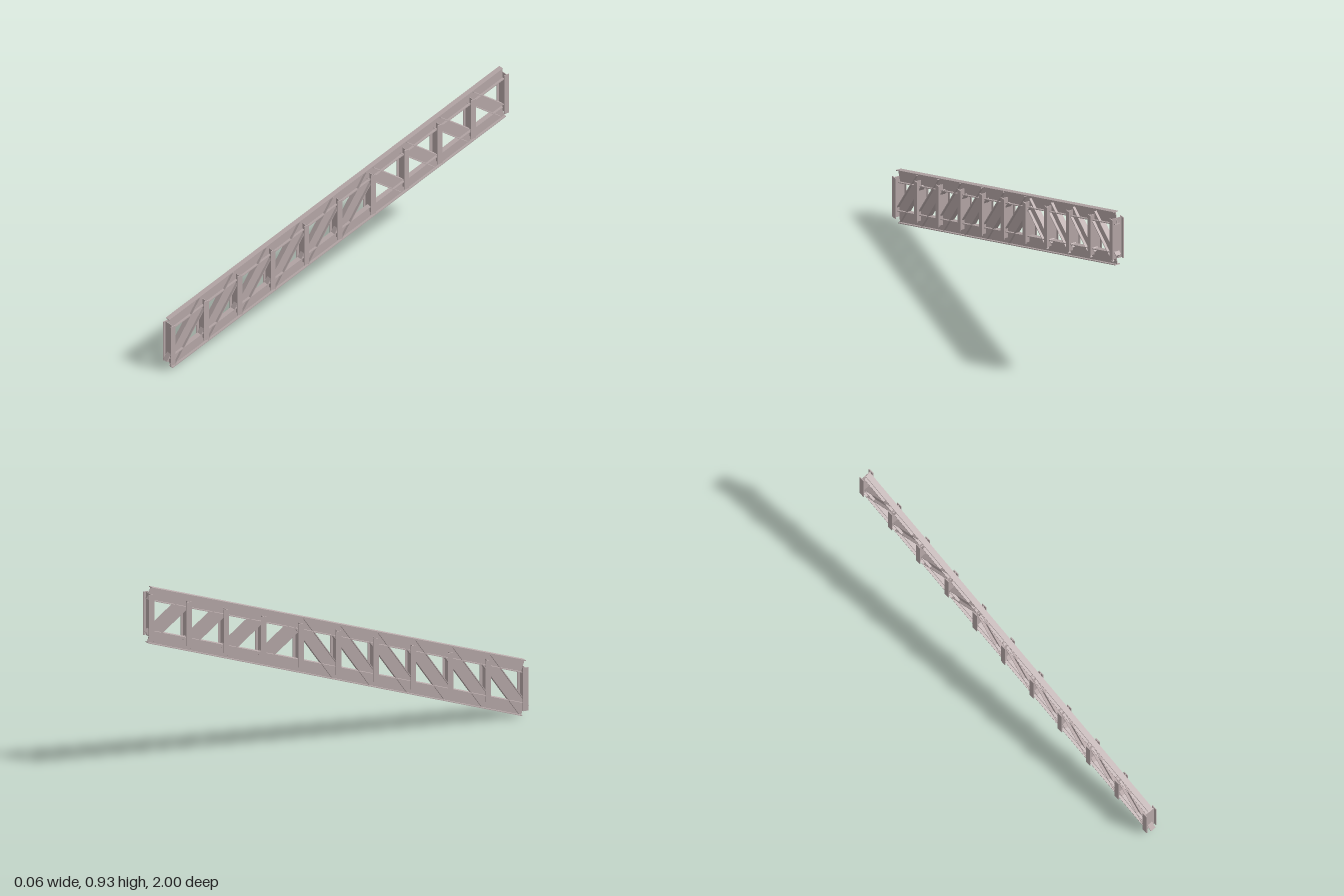
import * as THREE from 'three';

const DEPTH = 0.063, WIDTH = 0.028, FLANGE = 0.004, WEB = 0.003;
const PANELS = 10, STEP_Z = 0.196, STEP_Y = 0.0653, HEIGHT = 0.214;

// I-beam cross-section: flanges along x, web along y
function beamSection() {
  const w = WIDTH / 2, d = DEPTH / 2, t = WEB / 2, f = d - FLANGE;
  return new THREE.Shape([
    [-w, -d], [w, -d], [w, -f], [t, -f], [t, f], [w, f],
    [w, d], [-w, d], [-w, f], [-t, f], [-t, -f], [-w, -f],
  ].map(([x, y]) => new THREE.Vector2(x, y)));
}

export function createModel() {
  const model = new THREE.Group();
  model.name = 'inclinedTruss';
  const material = new THREE.MeshStandardMaterial({ color: 0xb9abab });
  const section = beamSection();

  // Joints on the centre lines of the lower and upper chords
  const lower = (i) => new THREE.Vector3(0, 0.031 + i * STEP_Y, 0.973 - i * STEP_Z);
  const upper = (i) => lower(i).add(new THREE.Vector3(0, HEIGHT, 0));

  // I-beam between two joints; roll turns it about its own length
  function addBeam(name, from, to, roll = 0) {
    const dir = to.clone().sub(from);
    const geometry = new THREE.ExtrudeGeometry(section, { depth: dir.length(), bevelEnabled: false });
    geometry.rotateZ(roll);
    geometry.rotateX(-Math.atan2(dir.y, dir.z));
    const mesh = new THREE.Mesh(geometry, material);
    mesh.name = name;
    mesh.position.copy(from);
    model.add(mesh);
  }

  // Sloping chords
  addBeam('lowerChord', lower(0), lower(PANELS));
  addBeam('upperChord', upper(0), upper(PANELS));

  // Upright posts, flanges facing sideways
  for (let i = 0; i <= PANELS; i++) addBeam(`post${i}`, lower(i), upper(i), Math.PI / 2);

  // Diagonals: six rise towards the back, the last four fall
  for (let i = 0; i < PANELS; i++) {
    if (i < 6) addBeam(`diagonal${i}`, lower(i), upper(i + 1));
    else addBeam(`diagonal${i}`, upper(i), lower(i + 1));
  }
  return model;
}
